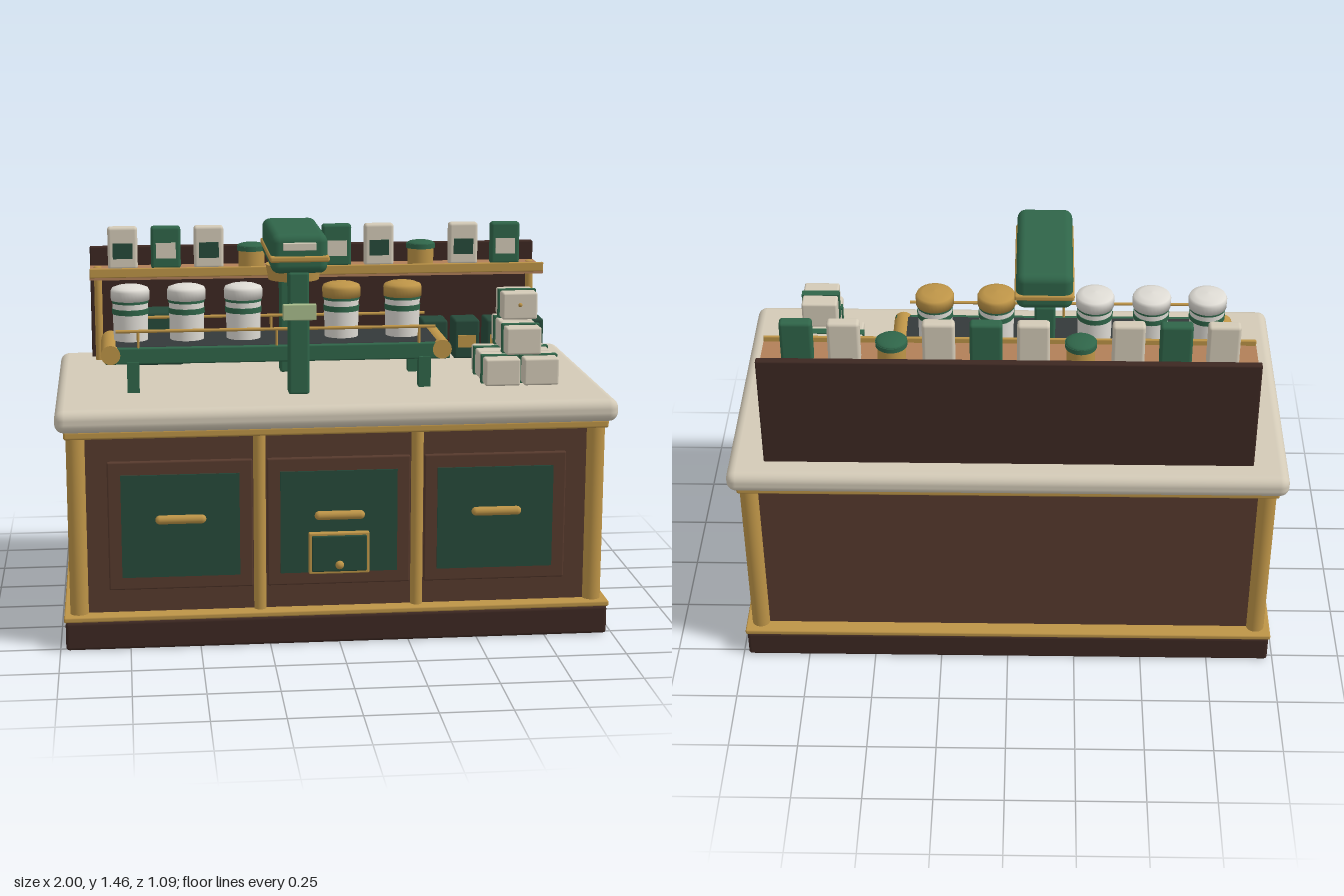
import * as THREE from 'three';
import { RoundedBoxGeometry } from 'three/addons/geometries/RoundedBoxGeometry.js';

const mat = (color) => new THREE.MeshStandardMaterial({ color });
const M = {
  green: mat(0x2f6549), panel: mat(0x264a3a), wood: mat(0x573a2d), dark: mat(0x3d2822),
  brass: mat(0xbd9447), cream: mat(0xd3cab7), white: mat(0xdedbd4), belt: mat(0x34393a),
  shelf: mat(0xb17f58), screen: mat(0xa9bd8c),
};

export function createModel() {
  const root = new THREE.Group();

  const add = (name, geo, m, x, y, z, parent = root) => {
    const mesh = new THREE.Mesh(geo, m);
    mesh.name = name;
    mesh.position.set(x, y, z);
    parent.add(mesh);
    return mesh;
  };
  // Box given by its limits, rounded when r > 0
  const span = (name, m, x0, x1, y0, y1, z0, z1, r = 0, parent = root) => {
    const s = [x1 - x0, y1 - y0, z1 - z0];
    const geo = r ? new RoundedBoxGeometry(...s, 3, r) : new THREE.BoxGeometry(...s);
    return add(name, geo, m, (x0 + x1) / 2, (y0 + y1) / 2, (z0 + z1) / 2, parent);
  };
  const post = (name, m, r, x, y0, y1, z, parent = root, rTop = r) =>
    add(name, new THREE.CylinderGeometry(rTop, r, y1 - y0, 32), m, x, (y0 + y1) / 2, z, parent);
  const group = (name) => {
    const g = new THREE.Group();
    g.name = name;
    root.add(g);
    return g;
  };

  // Cabinet
  span('plinth', M.dark, -0.98, 0.98, 0, 0.105, -0.525, 0.525, 0.012);
  span('lowerTrim', M.brass, -0.985, 0.985, 0.105, 0.125, -0.53, 0.53, 0.006);
  span('cabinetBody', M.wood, -0.93, 0.93, 0.12, 0.78, -0.475, 0.475);
  span('upperTrim', M.brass, -0.97, 0.97, 0.768, 0.798, -0.51, 0.51, 0.008);
  span('countertop', M.cream, -1, 1, 0.795, 0.878, -0.545, 0.545, 0.035);
  for (const x of [-0.93, 0.93])
    for (const z of [-0.473, 0.473]) post('cornerPost', M.brass, 0.033, x, 0.12, 0.775, z);
  for (const x of [-0.283, 0.283]) post('frontPost', M.brass, 0.022, x, 0.12, 0.775, 0.478);

  // Front doors with handles
  for (const x of [-0.565, 0, 0.565]) {
    const door = group('door');
    span('doorFrame', M.wood, x - 0.257, x + 0.257, 0.21, 0.68, 0.46, 0.49, 0.006, door);
    span('doorPanel', M.panel, x - 0.21, x + 0.21, 0.257, 0.632, 0.47, 0.496, 0, door);
    const handle = add('handle', new THREE.CapsuleGeometry(0.016, 0.148, 6, 16), M.brass, x, 0.475, 0.52, door);
    handle.rotation.z = Math.PI / 2;
    for (const s of [-1, 1]) span('handleMount', M.brass, x + s * 0.06 - 0.008, x + s * 0.06 + 0.008, 0.467, 0.483, 0.49, 0.52, 0, door);
  }
  span('hatchTrim', M.brass, -0.11, 0.108, 0.255, 0.408, 0.49, 0.515, 0.005);
  span('hatch', M.panel, -0.1, 0.098, 0.265, 0.398, 0.49, 0.522, 0.005);
  add('hatchKnob', new THREE.SphereGeometry(0.016, 16, 12), M.brass, 0, 0.29, 0.52);

  // Panel on the left end only
  span('sideFrame', M.wood, 0.92, 0.945, 0.21, 0.685, -0.39, 0.395, 0.006);
  span('sidePanel', M.panel, 0.92, 0.952, 0.26, 0.635, -0.337, 0.346);

  // Back board and shelf
  span('backBoard', M.dark, -0.875, 0.87, 0.87, 1.312, -0.458, -0.43, 0.006);
  span('shelf', M.shelf, -0.875, 0.87, 1.212, 1.238, -0.43, -0.225);
  span('shelfLip', M.brass, -0.875, 0.87, 1.222, 1.258, -0.228, -0.216, 0.004);
  for (const x of [-0.845, 0.845]) {
    post('shelfPost', M.brass, 0.015, x, 0.87, 1.215, -0.37);
    add('shelfScrew', new THREE.SphereGeometry(0.016, 16, 8).scale(1, 0.4, 1), M.brass, x, 1.238, -0.378);
  }

  // Shelf goods: c = cream packet, g = green packet, j = jar
  [...'cgcjcgcjcg'].forEach((kind, i) => {
    const x = -0.748 + i * 0.165, z = -0.335;
    const g = group(kind === 'j' ? 'shelfJar' : 'shelfPacket');
    if (kind === 'j') {
      post('jarBody', M.brass, 0.05, x, 1.238, 1.31, z, g);
      post('jarLid', M.green, 0.056, x, 1.305, 1.322, z, g);
      add('jarDome', new THREE.SphereGeometry(0.054, 24, 8, 0, Math.PI * 2, 0, Math.PI / 2).scale(1, 0.25, 1), M.green, x, 1.322, z, g);
      return;
    }
    const [body, label] = kind === 'c' ? [M.cream, M.panel] : [M.green, M.cream];
    span('packet', body, x - 0.057, x + 0.057, 1.238, 1.402, z - 0.023, z + 0.023, 0.012, g);
    span('label', label, x - 0.038, x + 0.038, 1.28, 1.34, z + 0.01, z + 0.027, 0, g);
  });

  // Control box under the shelf
  span('controlBox', M.panel, -0.73, -0.52, 0.875, 1.085, -0.37, -0.237, 0.015);
  for (const x of [-0.678, -0.622, -0.568]) {
    const knob = post('controlKnob', M.brass, 0.013, x, 0.918, 0.942, -0.228);
    knob.rotation.x = Math.PI / 2;
  }

  // Row of canisters under the shelf
  for (let i = 0; i < 4; i++) {
    const x = 0.455 + i * 0.126;
    const g = group('canister');
    span('canisterBody', M.panel, x - 0.05, x + 0.05, 0.875, 1.03, -0.372, -0.25, 0.01, g);
    span('canisterLabel', M.brass, x - 0.035, x + 0.035, 0.922, 0.97, -0.26, -0.246, 0, g);
  }

  // Conveyor
  const conveyor = group('conveyor');
  span('belt', M.belt, -0.8, 0.405, 0.99, 1.045, -0.035, 0.228, 0.01, conveyor);
  for (const [z, out] of [[-0.044, -0.04], [0.234, 0.238]]) {
    span('sideRail', M.green, -0.82, 0.435, 0.98, 1.04, z - 0.012, z + 0.012, 0.006, conveyor);
    const rod = post('guardRod', M.brass, 0.006, -0.2, 0.5 - 0.58 + 0.6, 1.68, out, conveyor);
    rod.position.y = 1.1;
    rod.rotation.z = Math.PI / 2;
    for (const x of [-0.7, -0.2, 0.32]) post('guardSupport', M.brass, 0.005, x, 1.03, 1.1, out, conveyor);
    for (const x of [-0.72, 0.34]) span('conveyorLeg', M.green, x - 0.022, x + 0.022, 0.87, 0.99, z - 0.022, z + 0.022, 0, conveyor);
  }
  for (const x of [-0.8, 0.405]) {
    const roller = add('roller', new THREE.CylinderGeometry(0.035, 0.035, 0.304, 32), M.brass, x, 1.015, 0.095, conveyor);
    roller.rotation.x = Math.PI / 2;
  }

  // Tubs riding on the belt
  [[-0.725, M.white], [-0.52, M.white], [-0.312, M.white], [0.05, M.brass], [0.277, M.brass]].forEach(([x, lid]) => {
    const g = group('tub');
    const z = 0.096;
    post('tubBody', M.white, 0.062, x, 1.045, 1.195, z, g, 0.065);
    post('tubBand', M.green, 0.0665, x, 1.142, 1.162, z, g);
    post('tubNeck', M.green, 0.0665, x, 1.182, 1.195, z, g);
    const profile = [[0, 1.192], [0.07, 1.192], [0.071, 1.225], [0.066, 1.236], [0.045, 1.244], [0, 1.248]];
    add('tubLid', new THREE.LatheGeometry(profile.map((p) => new THREE.Vector2(...p)), 32), lid, x, 0, z, g);
  });

  // Press gate over the conveyor
  const gate = group('pressGate');
  span('frontPillar', M.green, -0.165, -0.09, 0.875, 1.32, 0.273, 0.335, 0.01, gate);
  span('rearPillar', M.green, -0.165, -0.09, 0.875, 1.32, -0.12, -0.06, 0.01, gate);
  span('pressHead', M.green, -0.226, -0.024, 1.315, 1.457, -0.133, 0.345, 0.03, gate);
  span('headBand', M.brass, -0.232, -0.018, 1.357, 1.38, -0.138, 0.35, 0.008, gate);
  span('headPlate', M.cream, -0.185, -0.066, 1.4, 1.428, 0.34, 0.356, 0.004, gate);
  span('statusPlate', M.screen, -0.186, -0.066, 1.15, 1.208, 0.33, 0.355, 0.004, gate);
  post('stamp', M.brass, 0.093, -0.127, 1.262, 1.318, 0.107, gate, 0.103);

  // Stack of ribboned parcels: [x, bottom, z]
  const parcels = [[0.7, 1.11, 0.125]];
  for (const z of [0.21, 0.045])
    parcels.push([0.625, 0.88, z], [0.768, 0.88, z], [0.7, 0.995, z]);
  for (const [x, y, z] of parcels) {
    const g = group('parcel');
    span('parcelBox', M.cream, x - 0.065, x + 0.065, y, y + 0.1, z - 0.075, z + 0.075, 0.008, g);
    span('ribbon', M.green, x - 0.069, x + 0.069, y - 0.003, y + 0.103, z - 0.015, z + 0.015, 0, g);
  }
  add('parcelSeal', new THREE.SphereGeometry(0.008, 12, 8), M.brass, 0.7, 1.165, 0.2);

  return root;
}
